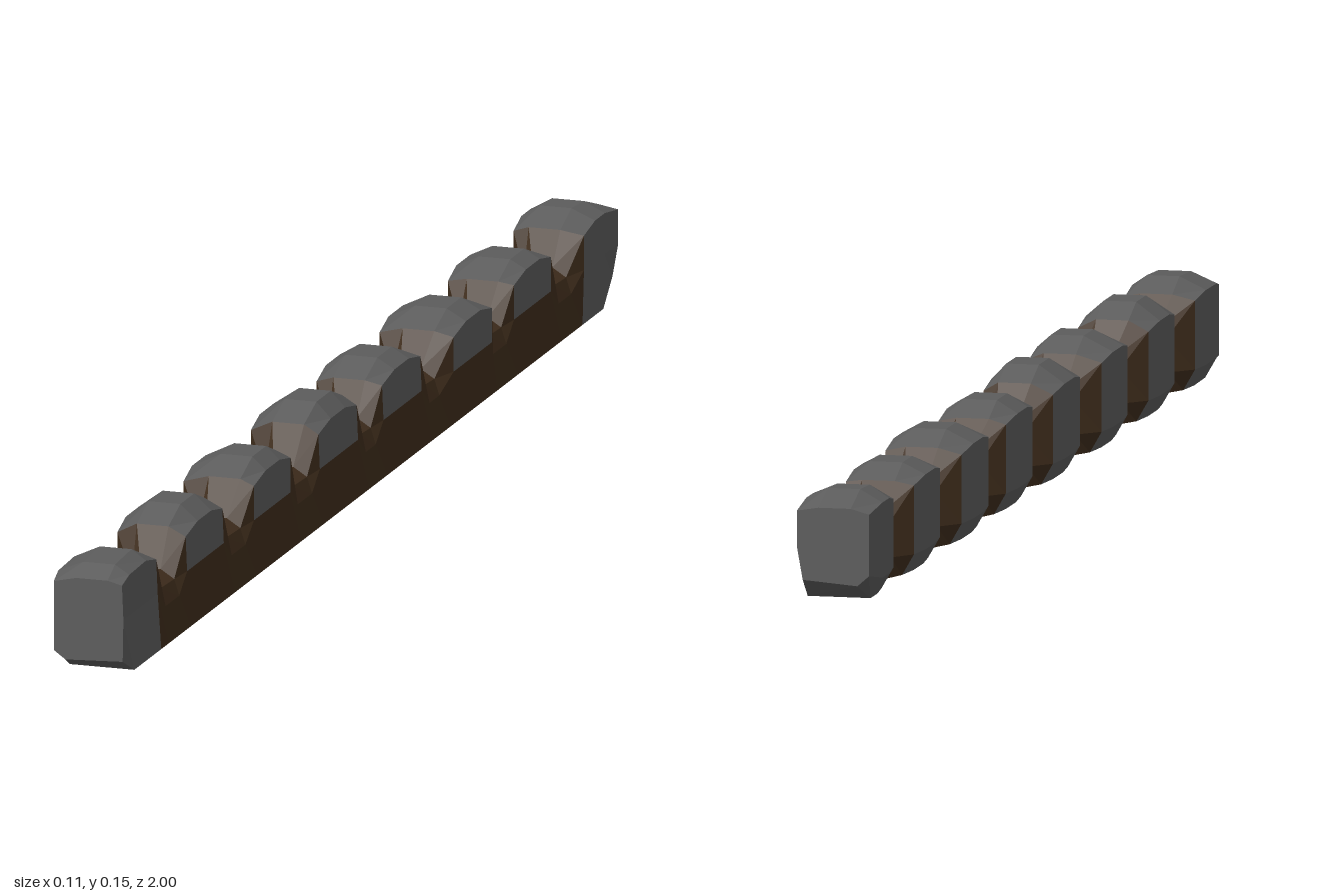
import * as THREE from 'three';

// stones along the row: [centre z, half length, peak height, outer x, +x shoulder]
const STONES = [
  [-0.93, 0.07, 0.145, -0.052, 0.051],
  [-0.67, 0.075, 0.143, -0.053, 0.044],
  [-0.40, 0.078, 0.146, -0.055, 0.053],
  [-0.14, 0.078, 0.145, -0.054, 0.042],
  [0.12, 0.078, 0.152, -0.057, 0.042],
  [0.395, 0.075, 0.148, -0.058, 0.045],
  [0.665, 0.075, 0.152, -0.058, 0.042],
  [0.93, 0.07, 0.145, -0.058, 0.042],
];

// cross-section through a stone, anticlockwise seen from the front;
// t is 0 at the stone's ends and 1 at its crown
function stoneRing(z, t, [, , h, xl, xr], shift = 0) {
  const top = THREE.MathUtils.lerp(h - 0.018, h, t);
  const left = xl + (1 - t) * 0.005;
  return {
    z,
    pts: [
      [0.049, 0], [Math.max(0.044, xr), 0.075], [xr, 0.122 + t * 0.009],
      [0.022 + shift, top], [-0.022 + shift, top], [left, 0.12 + t * 0.008],
      [left, 0.028], [left + 0.016, 0],
    ],
  };
}

// low, narrow cross-section between two stones
function gapRing(z, y) {
  return {
    z,
    pts: [
      [0.049, 0], [0.044, 0.05], [0.037, y - 0.012], [0.018, y],
      [-0.01, y], [-0.022, y - 0.012], [-0.024, 0.028], [-0.02, 0],
    ],
  };
}

// end face with its lower edge bevelled upward
function endRing(z, stone, lift) {
  const ring = stoneRing(z, 0, stone);
  ring.pts[0] = [ring.pts[0][0] - 0.006, lift];
  ring.pts[7] = [ring.pts[7][0], lift * 0.8];
  ring.pts[6][1] = lift + 0.008;
  return ring;
}

function makeMesh(name, positions, color) {
  const geometry = new THREE.BufferGeometry();
  geometry.setAttribute('position', new THREE.Float32BufferAttribute(positions, 3));
  geometry.computeVertexNormals();
  const mesh = new THREE.Mesh(geometry, new THREE.MeshStandardMaterial({ color, flatShading: true }));
  mesh.name = name;
  return mesh;
}

export function createModel() {
  const group = new THREE.Group();
  group.name = 'stoneBorder';
  const rings = [];
  const last = STONES.length - 1;

  // sections from back to front, tagged with the stone they belong to
  STONES.forEach((s, i) => {
    const [z, half] = s;
    const shift = (i % 3 - 1) * 0.004;
    const add = (ring) => rings.push({ ...ring, stone: i });
    if (i === 0) {
      add(endRing(-1, s, 0.03));
      add(stoneRing(-0.945, 1, s));
    } else {
      rings.push({ ...gapRing(z - half - 0.032, 0.086), stone: -1 });
      add(stoneRing(z - half, 0, s, shift));
      add(stoneRing(z - half * 0.4, 1, s, shift));
    }
    if (i === last) {
      add(stoneRing(0.97, 0.8, s));
      add(endRing(1, s, 0.018));
    } else {
      add(stoneRing(z + half * 0.35, 1, s, shift));
      add(stoneRing(z + half, 0, s, shift));
      rings.push({ ...gapRing(z + half + 0.032, 0.084), stone: -1 });
    }
  });

  // skin the sections: stone faces, and earth in the gaps and along the +x flank
  const stone = STONES.map(() => []);
  const earth = [];
  const n = rings[0].pts.length;
  const point = (r, j) => [...r.pts[j % n], r.z];
  for (let i = 0; i < rings.length - 1; i++) {
    const a = rings[i], b = rings[i + 1];
    const owner = a.stone === b.stone ? a.stone : -1;
    for (let j = 0; j < n; j++) {
      const flank = j === 0 && owner > 0 && owner < last;
      const underside = j === n - 1;
      const target = owner < 0 && !underside || flank ? earth : stone[Math.max(owner, a.stone, b.stone, 0)];
      const p = point(a, j), q = point(a, j + 1), r = point(b, j + 1), s = point(b, j);
      target.push(...p, ...q, ...r, ...p, ...r, ...s);
    }
  }

  // end faces
  const back = rings[0], front = rings[rings.length - 1];
  for (let j = 1; j < n - 1; j++) {
    stone[0].push(...point(back, 0), ...point(back, j + 1), ...point(back, j));
    stone[last].push(...point(front, 0), ...point(front, j), ...point(front, j + 1));
  }

  stone.forEach((positions, i) => group.add(makeMesh(`stone${i + 1}`, positions, 0x5c5c5c)));
  group.add(makeMesh('earthJoints', earth, 0x3f2d1c));
  return group;
}
